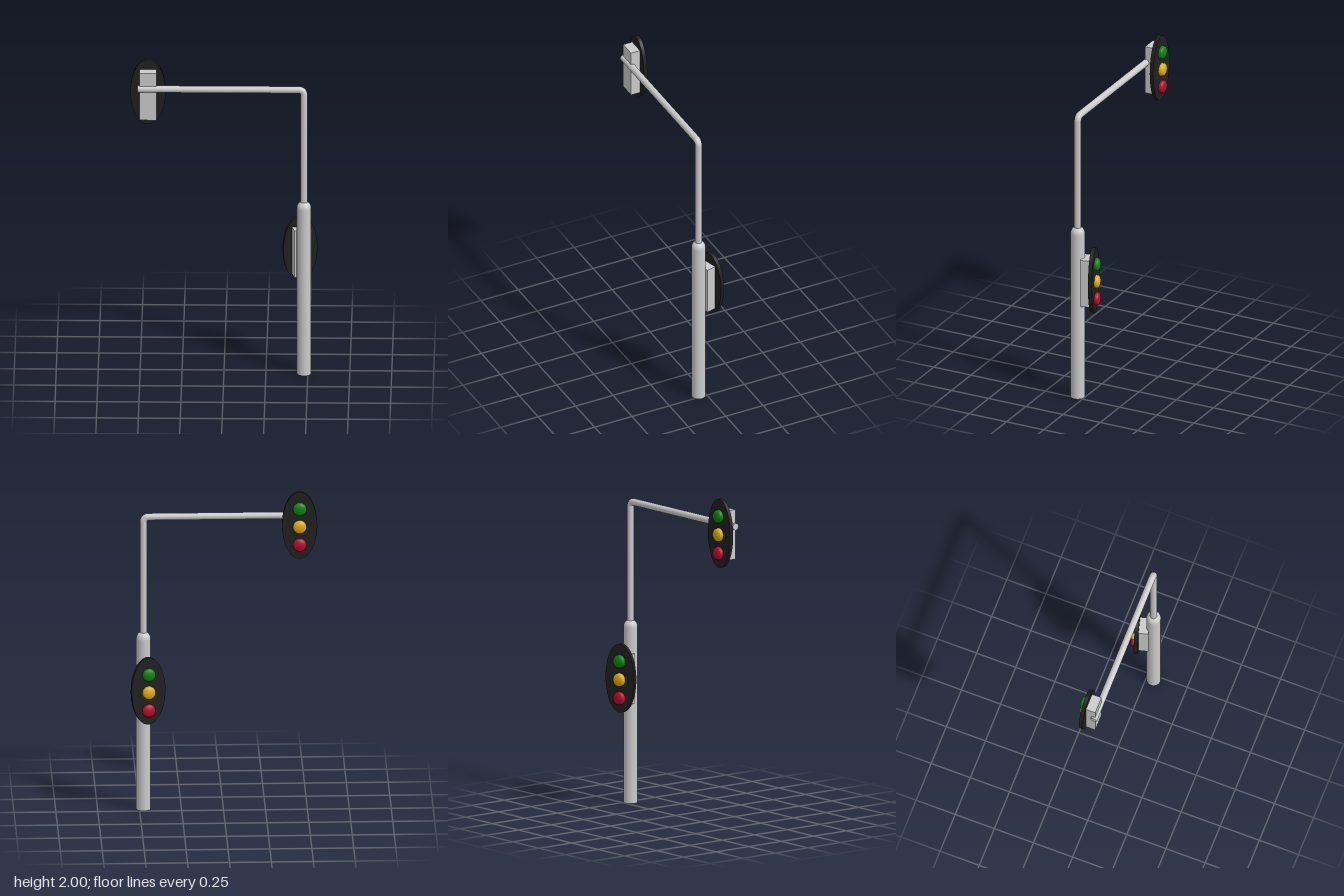
import * as THREE from 'three';

const POLE_X = 0.477, POLE_Z = 0.044;
const material = (color) => new THREE.MeshStandardMaterial({ color });
const grey = material(0xcccccc);
const black = material(0x202020);
const lampColors = { redLamp: 0xb50d2e, yellowLamp: 0xdfae0c, greenLamp: 0x0d8414 };

function addMesh(parent, name, geometry, mat, x = 0, y = 0, z = 0) {
  const mesh = new THREE.Mesh(geometry, mat);
  mesh.name = name;
  mesh.position.set(x, y, z);
  parent.add(mesh);
  return mesh;
}

// Signal head, centred on its oval backboard, lamps facing -z
function createSignalHead(name) {
  const head = new THREE.Group();
  head.name = name;

  const board = new THREE.CylinderGeometry(1, 1, 0.023, 48).rotateX(Math.PI / 2).scale(0.105, 0.209, 1);
  addMesh(head, 'backboard', board, black);
  addMesh(head, 'housing', new THREE.BoxGeometry(0.103, 0.302, 0.062), grey, 0, -0.008, 0.04);

  // Lamp: short collar with a shallow domed lens
  const profile = [new THREE.Vector2(0.04, 0), new THREE.Vector2(0.04, 0.024)];
  for (let i = 0; i <= 6; i++) {
    const a = (i / 6) * Math.PI / 2;
    profile.push(new THREE.Vector2(0.039 * Math.cos(a), 0.026 + 0.016 * Math.sin(a)));
  }
  const lamp = new THREE.LatheGeometry(profile, 28).rotateX(-Math.PI / 2);
  Object.entries(lampColors).forEach(([lampName, color], i) => {
    addMesh(head, lampName, lamp, material(color), 0, -0.008 + (i - 1) * 0.112, 0);
  });
  return head;
}

export function createModel() {
  const model = new THREE.Group();
  model.name = 'trafficSignal';

  // Thick lower post with a rounded shoulder
  addMesh(model, 'lowerPost', new THREE.CylinderGeometry(0.043, 0.043, 1.07, 32), grey, POLE_X, 0.535, POLE_Z);
  const shoulder = [];
  for (let i = 0; i <= 6; i++) {
    const a = (i / 6) * Math.PI / 2;
    shoulder.push(new THREE.Vector2(0.043 * Math.cos(a), 0.043 * Math.sin(a)));
  }
  addMesh(model, 'postShoulder', new THREE.LatheGeometry(shoulder, 32), grey, POLE_X, 1.07, POLE_Z);

  // Slim mast, elbow and arm
  const armY = 1.831, r = 0.021, bend = 0.03, armEnd = -0.516;
  const mastLength = armY - bend - 1.07;
  addMesh(model, 'mast', new THREE.CylinderGeometry(r, r, mastLength, 24), grey,
    POLE_X, 1.07 + mastLength / 2, POLE_Z);
  addMesh(model, 'elbow', new THREE.TorusGeometry(bend, r, 24, 12, Math.PI / 2), grey,
    POLE_X - bend, armY - bend, POLE_Z);
  const armLength = POLE_X - bend - armEnd;
  addMesh(model, 'arm', new THREE.CylinderGeometry(r, r, armLength, 24).rotateZ(Math.PI / 2), grey,
    armEnd + armLength / 2, armY, POLE_Z);

  // One head on the arm, one turned slightly on the post
  const upper = createSignalHead('upperSignalHead');
  upper.position.set(-0.453, 1.791, -0.021);
  const lower = createSignalHead('lowerSignalHead');
  lower.position.set(0.452, 0.771, -0.05);
  lower.rotation.y = THREE.MathUtils.degToRad(15);
  model.add(upper, lower);

  return model;
}
